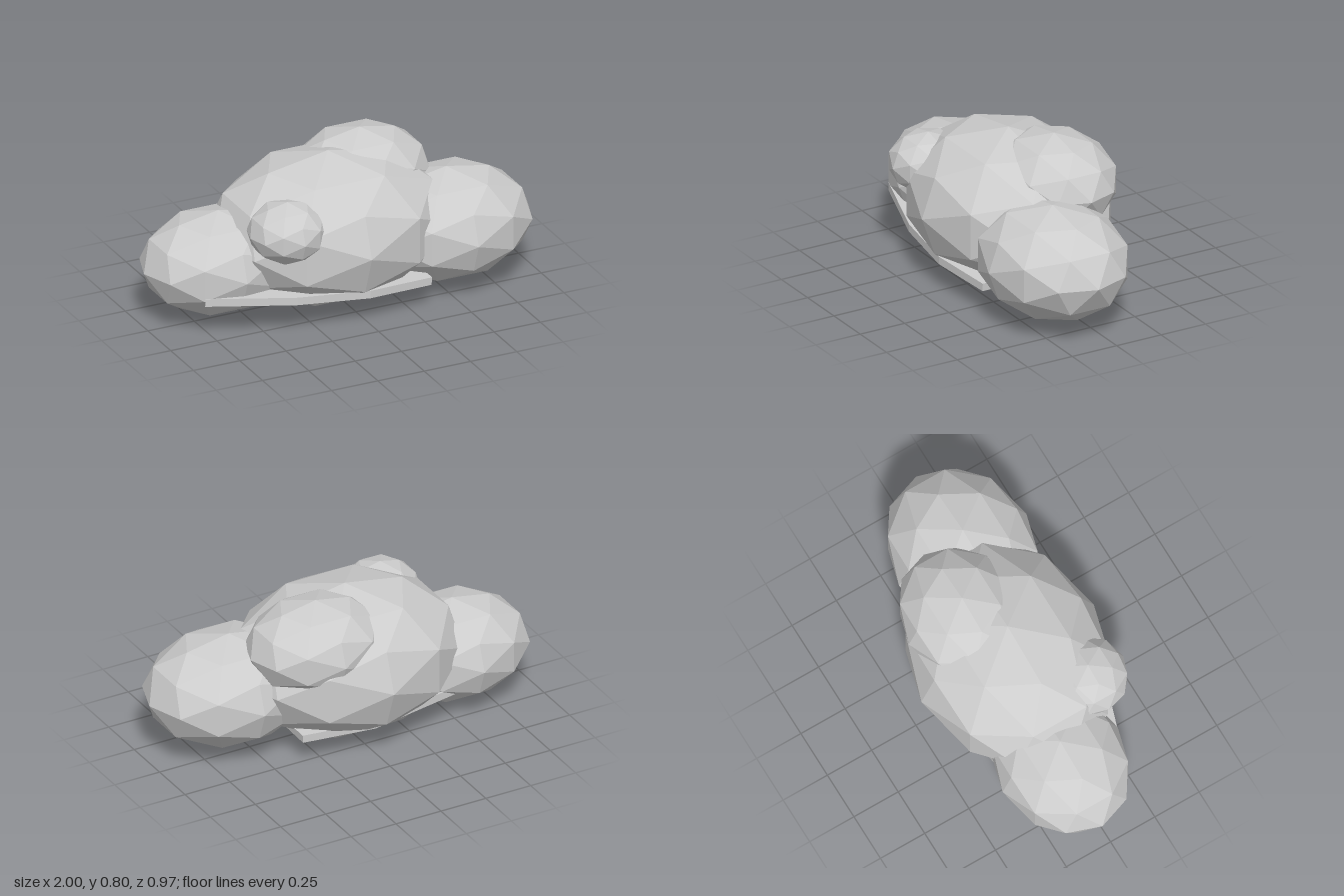
import * as THREE from 'three';

export function createModel() {
  const cloud = new THREE.Group();
  cloud.name = 'cloud';
  const grey = new THREE.MeshStandardMaterial({ color: 0xcccccc, flatShading: true });
  grey.name = 'cloud grey';

  function add(name, geometry) {
    const mesh = new THREE.Mesh(geometry, grey);
    mesh.name = name;
    cloud.add(mesh);
    return mesh;
  }

  // Puffs: faceted balls stretched to [name, centre, radii]
  const puffs = [
    ['mainPuff', [-0.03, 0.383, 0], [0.61, 0.383, 0.487]],
    ['leftPuff', [0.56, 0.318, 0.1], [0.44, 0.283, 0.36]],
    ['rightPuff', [-0.6, 0.285, -0.045], [0.4, 0.26, 0.325]],
    ['topPuff', [0.2, 0.56, -0.12], [0.36, 0.235, 0.3]],
    ['smallFrontPuff', [-0.37, 0.51, 0.25], [0.2, 0.155, 0.2]],
  ];
  for (const [name, centre, radii] of puffs) {
    const ball = new THREE.IcosahedronGeometry(1, 1).scale(...radii).translate(...centre);
    ball.computeVertexNormals();
    add(name, ball);
  }

  // Thin slab joining the puffs underneath, tilted down to the left
  const outline = [
    [-0.8, 0.22], [-0.37, 0.36], [0, 0.41], [0.35, 0.37],
    [0.36, -0.28], [0, -0.36], [-0.6, -0.28],
  ].map(([x, z]) => new THREE.Vector2(x, -z));
  const slab = new THREE.ExtrudeGeometry(new THREE.Shape(outline), { depth: 0.04, bevelEnabled: false });
  slab.rotateX(-Math.PI / 2).rotateZ(-0.05).translate(0, 0.14, 0);
  add('baseSlab', slab);

  return cloud;
}
